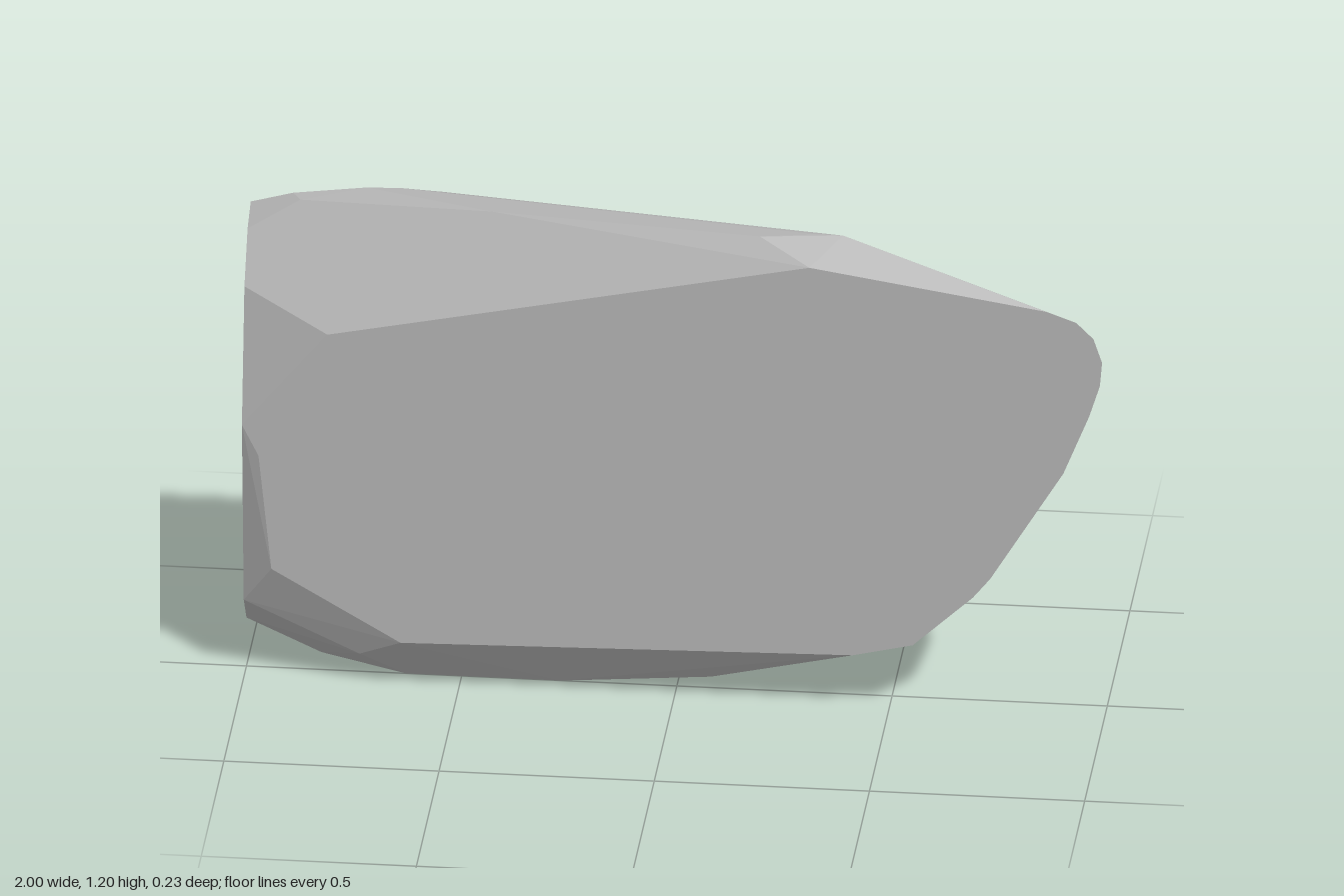
import * as THREE from 'three';
import { ConvexGeometry } from 'three/addons/geometries/ConvexGeometry.js';

const HALF = 0.115; // half thickness of the slab

// Outline of the broad front face (x, y)
const frontOutline = [
  [-0.8, 0.92], [0.32, 1.15], [0.87, 1.065], [0.94, 1.04], [0.98, 1.0], [1, 0.94], [0.995, 0.88],
  [0.97, 0.8], [0.91, 0.65], [0.74, 0.37], [0.7, 0.32], [0.56, 0.19], [0.42, 0.157],
  [-0.63, 0.135], [-0.93, 0.31], [-0.96, 0.6],
];

// Outline of the broad back face (x, y)
const backOutline = [
  [-0.99, 1.12], [-0.557, 1.188], [0.175, 1.134], [0.315, 1.07], [0.64, 0.746],
  [0.228, 0.22], [-0.086, 0.12], [-0.946, 0.155], [-1, 0.14],
];

// Corners of the bevels around the rim (x, y, z)
const topRim = [
  [-0.9, 1.185, -0.08], [-0.88, 1.183, -0.05], [-0.73, 1.2, -0.095], [-0.65, 1.2, -0.1],
  [-0.43, 1.2, 0], [0.2, 1.2, 0.065], [0.33, 1.2, 0.04], [0.39, 1.198, 0.036],
];
const rightRim = [
  [0.79, 0.943, -0.045], [0.78, 0.795, -0.078], [0.765, 0.47, 0.027], [0.7, 0.36, 0.037], [0.43, 0.18, -0.01],
];
const bottomRim = [
  [0.41, 0.117, 0.03], [0.08, 0.033, 0.01], [-0.27, 0, 0], [-0.63, 0, 0], [-0.29, 0.025, -0.09],
  [-0.3, 0, -0.085], [-0.7, 0, -0.09], [-0.83, 0.025, -0.04], [-0.95, 0.06, -0.085], [-0.73, 0.08, 0.07],
];
const leftRim = [
  [-1, 0.085, -0.085], [-1, 0.125, 0], [-1, 0.2, 0.06], [-1, 0.67, 0.1],
  [-1, 1.0, 0.045], [-1, 1.115, -0.025], [-1, 1.15, -0.095],
];

export function createModel() {
  const group = new THREE.Group();
  group.name = 'rockSlab';

  const stone = new THREE.MeshStandardMaterial({ color: 0xb2b2b2 });
  stone.name = 'grey stone';

  // The faceted stone is the convex shell of its faces and bevels
  const points = [
    ...frontOutline.map(([x, y]) => [x, y, HALF]),
    ...backOutline.map(([x, y]) => [x, y, -HALF]),
    ...topRim, ...rightRim, ...bottomRim, ...leftRim,
  ].map((p) => new THREE.Vector3(...p));

  const slab = new THREE.Mesh(new ConvexGeometry(points), stone);
  slab.name = 'stoneSlab';
  group.add(slab);
  return group;
}
